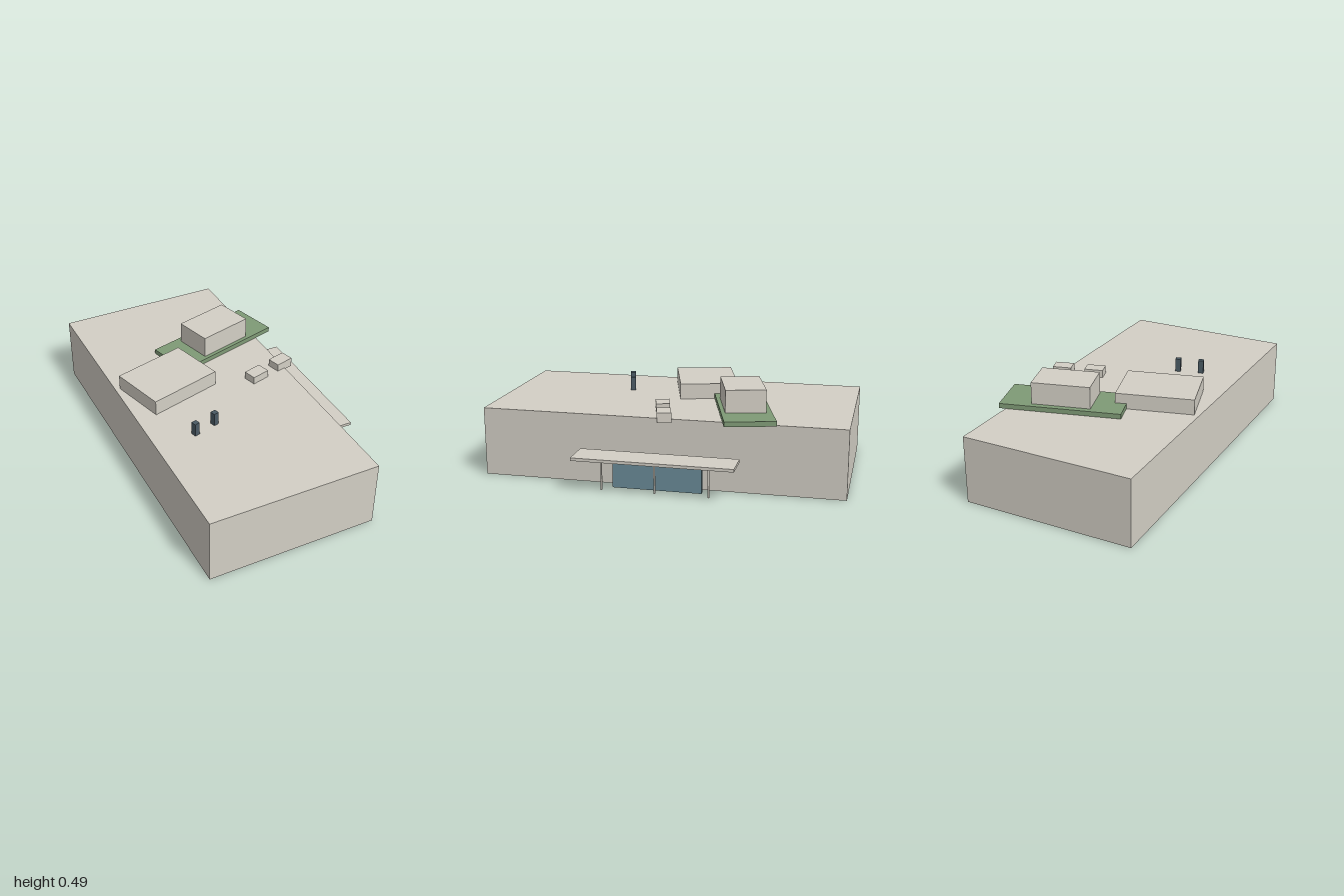
import * as THREE from 'three';

const mat = (color) => new THREE.MeshStandardMaterial({ color });

export function createModel() {
  const model = new THREE.Group();
  const concrete = mat(0xd3cfc5);
  const glass = mat(0x6a8c98);
  const dark = mat(0x4a5a64);
  const green = mat(0x7f9a76);
  const turn = -THREE.MathUtils.degToRad(15.4);

  // Box by centre x/z, size, and bottom/top heights
  const block = (name, material, x, z, w, d, y0, y1, angle = 0) => {
    const mesh = new THREE.Mesh(new THREE.BoxGeometry(w, y1 - y0, d), material);
    mesh.name = name;
    mesh.position.set(x, (y0 + y1) / 2, z);
    mesh.rotation.y = angle;
    model.add(mesh);
  };

  // Main hall, turned on the site
  block('hall', concrete, -0.024, 0, 0.888, 1.832, 0, 0.35, turn);

  // Entrance: canopy, glazed screen and posts parallel to the long wall
  block('canopy', concrete, 0.512, 0.145, 0.16, 0.8, 0.165, 0.18, turn);
  block('entranceGlass', glass, 0.45, 0.132, 0.025, 0.447, 0, 0.15, turn);
  for (const i of [-1, 0, 1]) {
    block('canopyPost', concrete, 0.508 - i * 0.071, 0.147 + i * 0.258, 0.008, 0.008, 0, 0.166, turn);
  }

  // Roof terrace with its penthouse, and the lower plant room
  block('roofTerrace', green, 0.275, -0.305, 0.62, 0.25, 0.353, 0.378);
  block('penthouse', concrete, 0.275, -0.3, 0.3, 0.2, 0.37, 0.492);
  block('plantRoom', concrete, -0.176, -0.152, 0.398, 0.3, 0.345, 0.43);

  // Roof units and vents
  for (const x of [0.225, 0.4]) block('roofUnit', concrete, x, 0.097, 0.1, 0.07, 0.34, 0.39);
  for (const x of [-0.326, -0.202]) block('roofVent', dark, x, 0.245, 0.028, 0.028, 0.345, 0.42);

  return model;
}
